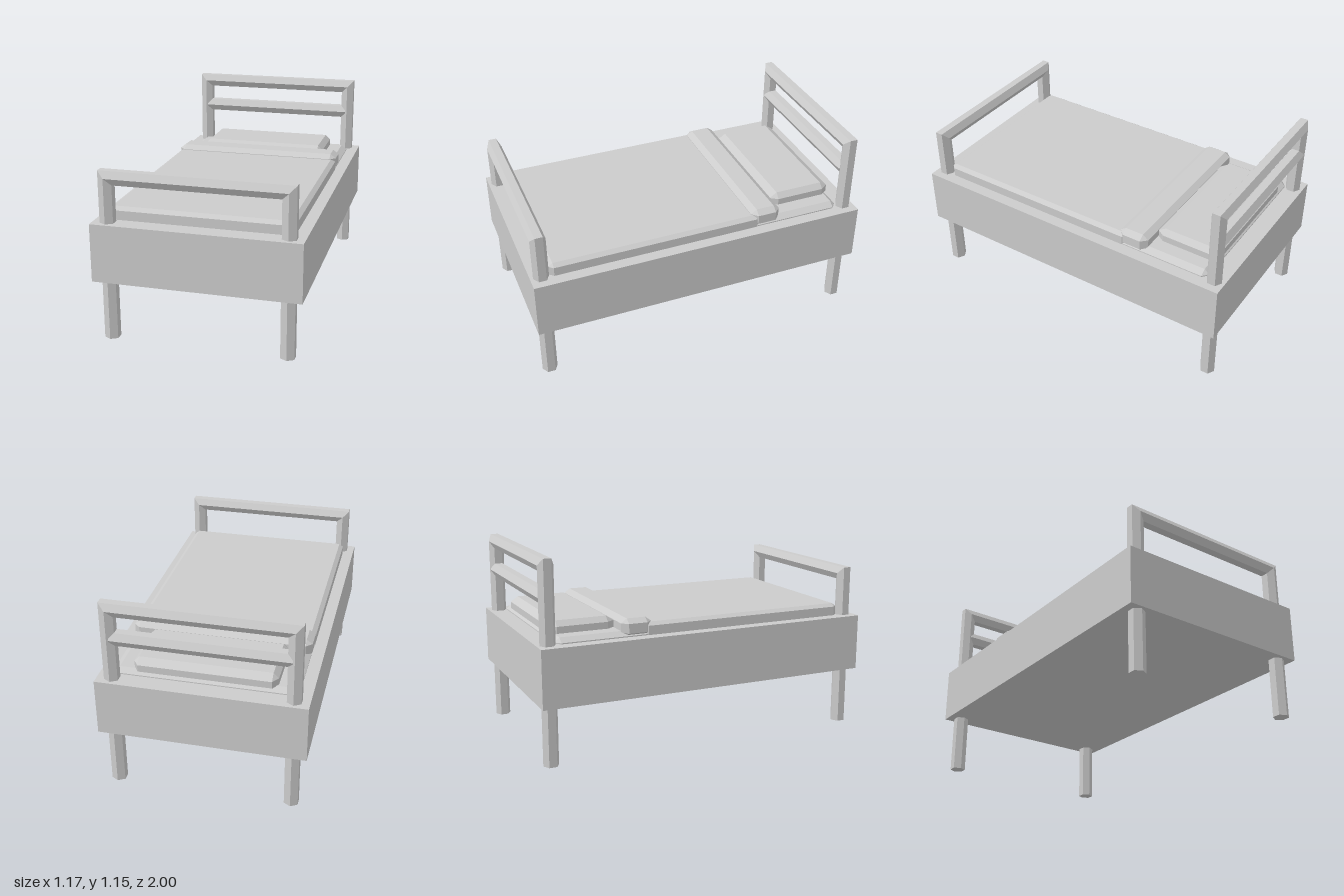
import * as THREE from 'three';
import { ConvexGeometry } from 'three/addons/geometries/ConvexGeometry.js';

const material = new THREE.MeshStandardMaterial({ color: 0xcccccc, flatShading: true });
const R = 0.045;        // bar radius, hexagonal section
const POST_X = 0.501;   // post centre line

function part(name, geometry, x = 0, y = 0, z = 0) {
  const mesh = new THREE.Mesh(geometry, material);
  mesh.name = name;
  mesh.position.set(x, y, z);
  return mesh;
}

// Box with all edges chamfered by bx, by, bz along each axis
function chamferedBox(w, h, d, bx, by, bz) {
  const points = [];
  for (const sx of [-1, 1]) for (const sy of [-1, 1]) for (const sz of [-1, 1]) {
    const x = w / 2, y = h / 2, z = d / 2;
    points.push(
      new THREE.Vector3(sx * x, sy * (y - by), sz * (z - bz)),
      new THREE.Vector3(sx * (x - bx), sy * y, sz * (z - bz)),
      new THREE.Vector3(sx * (x - bx), sy * (y - by), sz * z));
  }
  return new ConvexGeometry(points);
}

// Upside-down U of hexagonal bar with mitred corners
function archGeometry(height) {
  const positions = [], index = [];
  const path = [[-1, 0], [-1, 1], [1, 1], [1, 0]];
  for (const [side, up] of path) {
    for (let j = 0; j < 6; j++) {
      const a = j * Math.PI / 3, out = R * Math.sin(a);
      positions.push(side * (POST_X + out), up * (height + out), R * Math.cos(a));
    }
  }
  for (let i = 0; i < 3; i++) {
    for (let j = 0; j < 6; j++) {
      const a = i * 6 + j, b = i * 6 + (j + 1) % 6;
      index.push(a, a + 6, b + 6, a, b + 6, b);
    }
  }
  // Feet
  for (let j = 1; j < 5; j++) {
    index.push(0, j, j + 1, 18, 18 + j + 1, 18 + j);
  }
  const indexed = new THREE.BufferGeometry();
  indexed.setAttribute('position', new THREE.Float32BufferAttribute(positions, 3));
  indexed.setIndex(index);
  const geometry = indexed.toNonIndexed();
  geometry.computeVertexNormals();
  return geometry;
}

export function createModel() {
  const bed = new THREE.Group();
  bed.name = 'bed';

  // Deep box frame
  bed.add(part('bedFrame', new THREE.BoxGeometry(1.17, 0.332, 2), 0, 0.511, 0));

  // Footboard and headboard, whose posts run down into the legs
  bed.add(part('footboardAndLegs', archGeometry(0.931), 0, 0, 0.938));
  bed.add(part('headboardAndLegs', archGeometry(1.108), 0, 0, -0.938));
  const rail = new THREE.CylinderGeometry(R, R, 2 * POST_X - 0.02, 6).rotateZ(Math.PI / 2);
  bed.add(part('headboardMiddleRail', rail, 0, 0.935, -0.938));

  // Bedding
  bed.add(part('mattress', chamferedBox(1.03, 0.11, 1.79, 0.035, 0.025, 0.03), 0, 0.653, 0));
  bed.add(part('blanket', chamferedBox(1.036, 0.13, 1.28, 0.025, 0.018, 0.028), 0, 0.683, 0.255));
  bed.add(part('blanketFold', chamferedBox(1.04, 0.105, 0.18, 0.035, 0.025, 0.035), 0, 0.724, -0.422));
  bed.add(part('pillow', chamferedBox(0.8, 0.1, 0.385, 0.03, 0.03, 0.045), 0, 0.727, -0.703));

  return bed;
}
